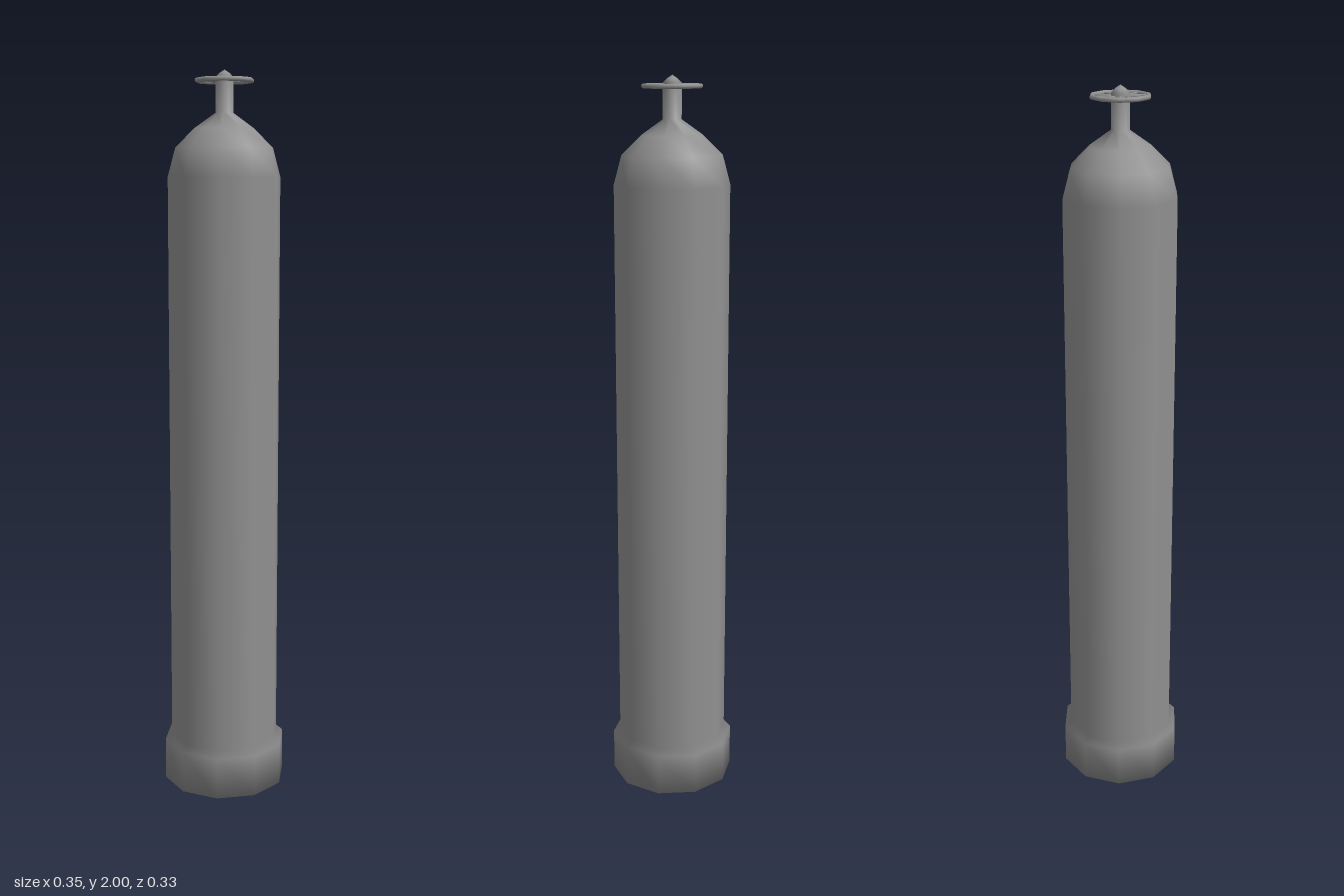
import * as THREE from 'three';

const SIDES = 10;
const WHEEL_Y = 1.972;

export function createModel() {
  const group = new THREE.Group();
  const material = new THREE.MeshStandardMaterial({ color: 0x909090 });

  const add = (name, geometry, parent = group) => {
    const mesh = new THREE.Mesh(geometry, material);
    mesh.name = name;
    parent.add(mesh);
    return mesh;
  };

  // Foot, wall, domed shoulder, stem and pointed cap as one smooth turned body
  const profile = [
    [0, 0], [0.174, 0], [0.174, 0.118], [0.155, 0.135],
    [0.155, 1.72], [0.134, 1.797], [0.082, 1.848], [0.025, 1.888],
    [0.025, 1.98], [0.014, 1.991], [0, 2],
  ].map(([r, y]) => new THREE.Vector2(r, y));
  add('tankBody', new THREE.LatheGeometry(profile, SIDES, Math.PI / 2));

  // Handwheel: rim and ten spokes
  const wheel = new THREE.Group();
  wheel.name = 'handwheel';
  wheel.position.y = WHEEL_Y;
  group.add(wheel);

  const rim = new THREE.TorusGeometry(0.0745, 0.0063, 8, SIDES);
  rim.rotateX(Math.PI / 2);
  add('wheelRim', rim, wheel);

  const spoke = new THREE.CylinderGeometry(0.0033, 0.0033, 0.055, 6);
  spoke.rotateZ(Math.PI / 2);
  spoke.translate(0.0465, 0, 0);
  for (let i = 0; i < SIDES; i++) {
    add('wheelSpoke', spoke, wheel).rotation.y = (i / SIDES) * Math.PI * 2;
  }

  return group;
}
